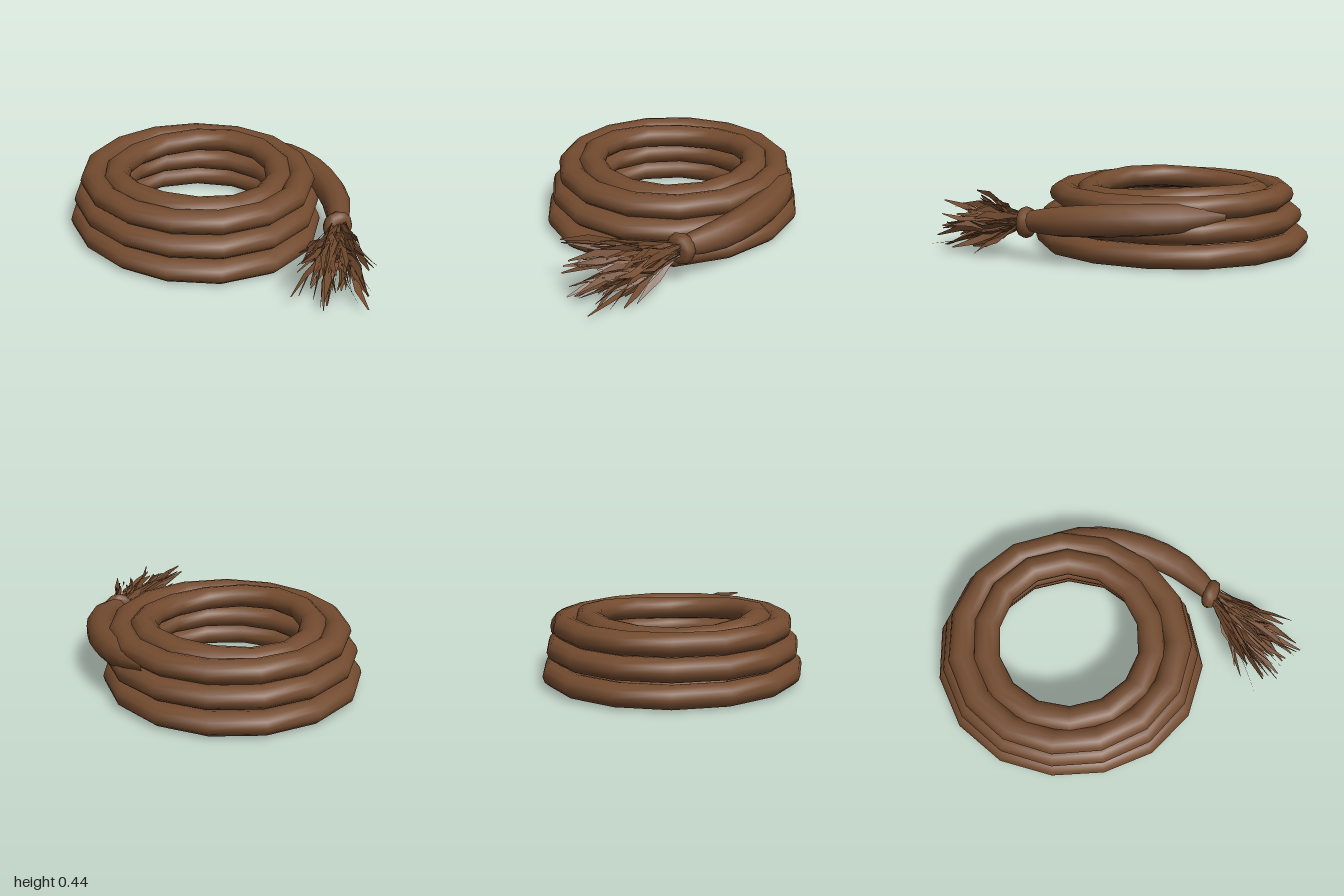
import * as THREE from 'three';

const rope = new THREE.MeshStandardMaterial({ color: 0x734b2f, side: THREE.DoubleSide });
rope.name = 'ropeBrown';

// Small seeded generator for the frayed end
let seed = 11;
const rand = (a, b) => {
  seed = (seed * 16807) % 2147483647;
  return a + (b - a) * (seed / 2147483647);
};

function add(group, name, geometry) {
  const mesh = new THREE.Mesh(geometry, rope);
  mesh.name = name;
  group.add(mesh);
  return mesh;
}

// Weight that is 1 at one angle around the coil and fades to 0 a quarter turn away
const lobe = (a, centre) => Math.max(0, Math.cos(a - centre)) ** 4;

// One flat turn of rope: narrow squeezes x, skew pushes it out front left and in front right, wave lifts it
function turn({ radius, x, y, sides, phase, narrow = 1, skew = 0, wave = 0 }) {
  const g = new THREE.TorusGeometry(radius, 0.084, 12, sides);
  g.rotateX(-Math.PI / 2);
  g.rotateY(phase);
  g.scale(narrow, 0.84, 1);
  const p = g.attributes.position;
  for (let i = 0; i < p.count; i++) {
    const a = Math.atan2(p.getZ(i), p.getX(i));
    const s = 1 + skew * (lobe(a, Math.PI / 4) - lobe(a, 0.75 * Math.PI));
    p.setXYZ(i, p.getX(i) * s, p.getY(i) + wave * Math.cos(2 * (a + 0.9)), p.getZ(i) * s);
  }
  g.translate(x, y, -0.16);
  return g;
}

// Rope along a curve with a radius that changes from start to end
function taperedRope(points, radii, segments, sides) {
  const curve = new THREE.CatmullRomCurve3(points.map((q) => new THREE.Vector3(...q)));
  const g = new THREE.TubeGeometry(curve, segments, 1, sides);
  const p = g.attributes.position, v = new THREE.Vector3();
  for (let i = 0; i <= segments; i++) {
    const c = curve.getPointAt(i / segments);
    const f = (i / segments) * (radii.length - 1);
    const k = Math.min(Math.floor(f), radii.length - 2);
    const r = THREE.MathUtils.lerp(radii[k], radii[k + 1], f - k);
    for (let j = 0; j <= sides; j++) {
      const n = i * (sides + 1) + j;
      v.fromBufferAttribute(p, n).sub(c).multiplyScalar(r).add(c);
      p.setXYZ(n, v.x, v.y, v.z);
    }
  }
  return g;
}

// Loose flat fibres fanning out of the knot
function fringe(count) {
  const pos = [], index = [];
  const widths = [0.008, 0.014, 0.022, 0.02, 0.004];
  for (let s = 0; s < count; s++) {
    const angle = rand(-0.62, 0.32);
    const length = (0.36 + 0.29 * rand(0, 1) ** 1.6) * (angle > 0.2 ? 0.8 : 1);
    const start = new THREE.Vector3(0.755 + rand(-0.04, 0.04), 0.23 + rand(-0.04, 0.04), 0.35);
    const end = new THREE.Vector3(
      0.75 + Math.sin(angle) * length,
      0.19 + rand(-0.18, 0.14),
      0.37 + Math.cos(angle) * length
    );
    const roll = rand(0, Math.PI);
    const side = new THREE.Vector3(Math.cos(roll), Math.sin(roll), rand(-0.3, 0.3));
    const base = pos.length / 3;
    widths.forEach((w, i) => {
      const t = i / (widths.length - 1);
      const c = start.clone().lerp(end, t);
      const wobble = 0.032 * t;
      c.x += rand(-wobble, wobble);
      c.y += rand(-wobble, wobble);
      for (const d of [-w, w]) {
        pos.push(
          Math.min(c.x + side.x * d, 0.905),
          Math.max(c.y + side.y * d, 0.015),
          Math.min(c.z + side.z * d, 1)
        );
      }
      if (i > 0) {
        const a = base + 2 * i - 2;
        index.push(a, a + 1, a + 2, a + 1, a + 3, a + 2);
      }
    });
  }
  const g = new THREE.BufferGeometry();
  g.setAttribute('position', new THREE.Float32BufferAttribute(pos, 3));
  g.setIndex(index);
  g.computeVertexNormals();
  return g;
}

export function createModel() {
  const model = new THREE.Group();
  model.name = 'ropeCoil';

  // Three stacked layers, each an outer and an inner turn
  const layers = [
    { y: 0.071, x: -0.115, outer: 0.757, narrow: 0.95, skew: 0.06, inner: 0.605, wave: 0 },
    { y: 0.211, x: -0.1, outer: 0.715, narrow: 0.975, skew: 0.04, inner: 0.56, wave: 0 },
    { y: 0.342, x: -0.09, outer: 0.665, narrow: 0.99, skew: 0.03, inner: 0.52, wave: 0.018 },
  ];
  layers.forEach(({ y, x, outer, narrow, skew, inner, wave }, i) => {
    add(model, `outerTurn${i + 1}`, turn({
      radius: outer, x, y, narrow, skew, sides: 15, phase: Math.PI + 0.1,
    }));
    add(model, `innerTurn${i + 1}`, turn({
      radius: inner, x: -0.08, y: wave ? y + 0.015 : y, sides: 14, phase: Math.PI / 14, wave,
    }));
  });

  // Free end leaving the coil
  add(model, 'ropeTail', taperedRope(
    [[0.3, 0.3, -0.72], [0.46, 0.295, -0.6], [0.62, 0.29, -0.4], [0.72, 0.28, -0.18],
      [0.77, 0.265, 0.02], [0.775, 0.25, 0.16], [0.75, 0.235, 0.36]],
    [0.04, 0.085, 0.092, 0.095, 0.092, 0.085, 0.05], 9, 10));

  // Binding around the end
  const knot = add(model, 'knot', new THREE.TorusGeometry(0.048, 0.047, 8, 12));
  knot.position.set(0.753, 0.227, 0.34);
  knot.rotation.y = 0.3;

  add(model, 'frayedEnd', fringe(90));
  return model;
}
